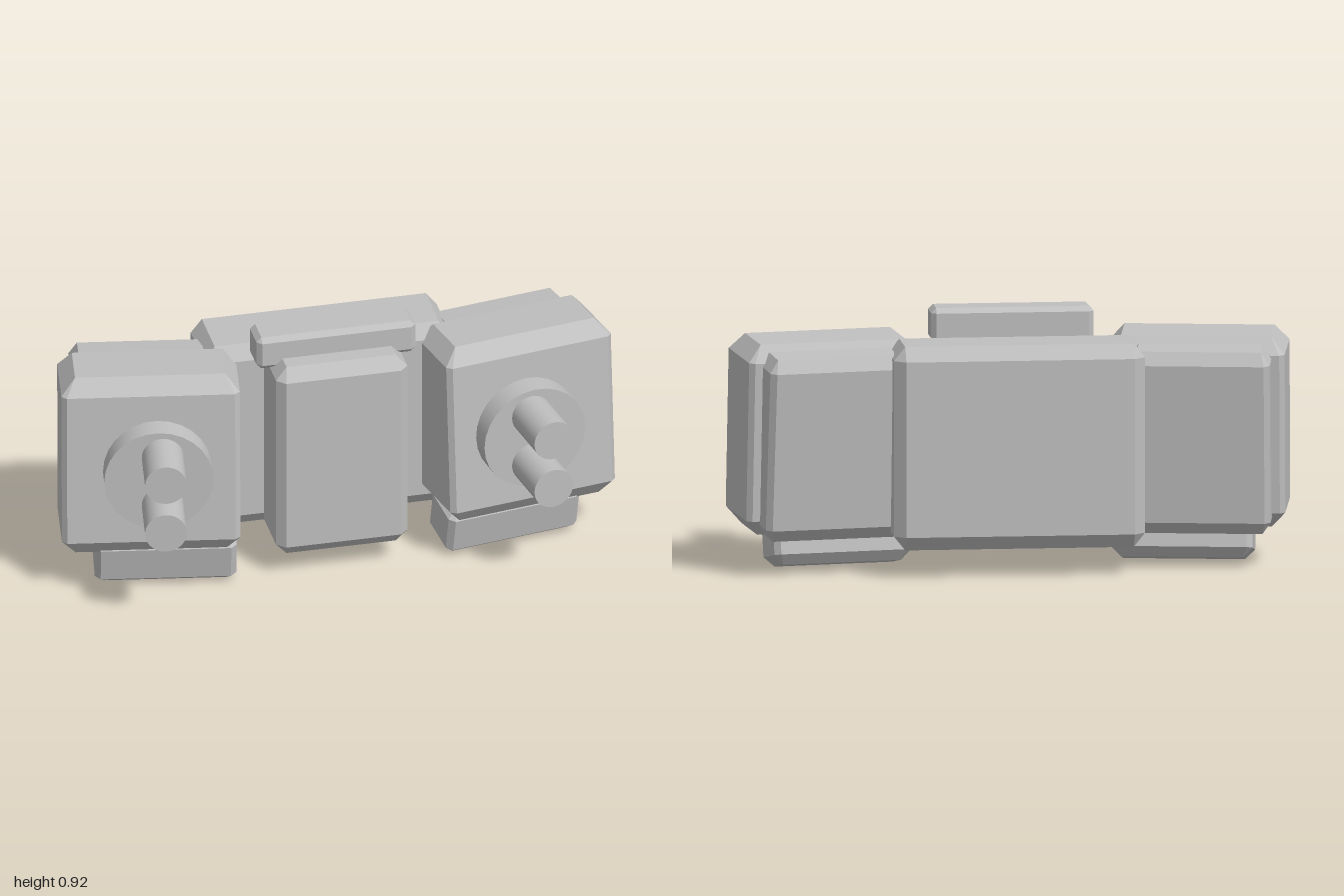
import * as THREE from 'three';
import { ConvexGeometry } from 'three/addons/geometries/ConvexGeometry.js';

const SIGNS = [-1, 1];

// Box with bevelled ends (inset, drop) and cut vertical corners
function bevelBox(w, h, d, inset, drop, cut) {
  const points = [];
  for (const sx of SIGNS) for (const sy of SIGNS) for (const sz of SIGNS) {
    const add = (x, y, z) => points.push(new THREE.Vector3(sx * x, sy * y, sz * z));
    add(w / 2 - inset, h / 2, d / 2 - inset);
    add(w / 2, h / 2 - drop, d / 2 - cut);
    add(w / 2 - cut, h / 2 - drop, d / 2);
  }
  return new ConvexGeometry(points);
}

export function createModel() {
  const model = new THREE.Group();
  model.name = 'twinPodUnit';
  const grey = new THREE.MeshStandardMaterial({ color: 0xbfbfbf });
  grey.name = 'light grey';

  function add(name, geometry, x, y, z, yaw = 0, tilt = 0) {
    const mesh = new THREE.Mesh(geometry, grey);
    mesh.name = name;
    mesh.position.set(x, y, z);
    mesh.rotation.set(tilt, yaw, 0, 'YXZ');
    model.add(mesh);
  }

  // Central body
  add('backBlock', bevelBox(0.89, 0.725, 0.28, 0.04, 0.05, 0.04), 0, 0.4625, -0.245);
  add('frontBlock', bevelBox(0.475, 0.755, 0.25, 0.04, 0.045, 0.03), 0, 0.4625, -0.005);
  add('topBar', bevelBox(0.575, 0.125, 0.135, 0.018, 0.018, 0.018), 0, 0.8625, -0.05);

  // Side pods turned outwards, with their panels, feet and barrels
  const pod = bevelBox(0.63, 0.685, 0.3, 0.05, 0.058, 0.018);
  const panel = bevelBox(0.5, 0.66, 0.18, 0.03, 0.045, 0.02);
  const foot = bevelBox(0.5, 0.2, 0.185, 0.035, 0.035, 0.02);
  const disc = new THREE.CylinderGeometry(0.193, 0.193, 0.12, 28).rotateX(Math.PI / 2);
  const barrel = new THREE.CylinderGeometry(0.074, 0.074, 0.24, 28).rotateX(Math.PI / 2);
  for (const s of SIGNS) {
    const side = s > 0 ? 'left' : 'right';
    const yaw = s * 0.172;
    add(side + 'Pod', pod, s * 0.664, 0.487, -0.055, yaw, -0.065);
    add(side + 'RearPanel', panel, s * 0.655, 0.463, -0.22, yaw, -0.105);
    add(side + 'Foot', foot, s * 0.615, 0.11, -0.02, yaw, 0.2);
    add(side + 'Disc', disc, s * 0.67, 0.492, 0.112, yaw);
    for (const y of [0.588, 0.394]) add(side + 'Barrel', barrel, s * 0.681, y, 0.255, yaw);
  }
  return model;
}
